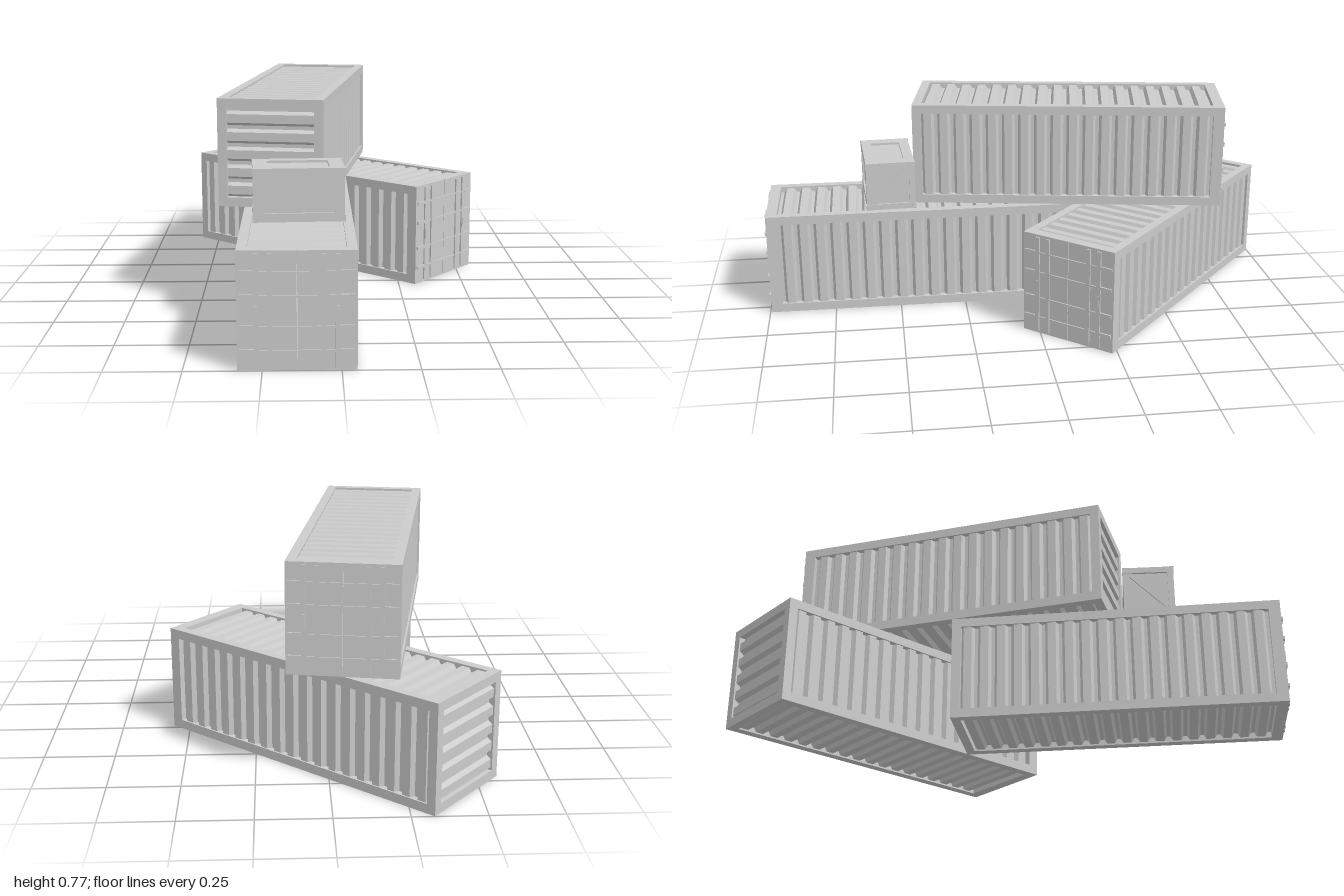
import * as THREE from 'three';

const grey = new THREE.MeshStandardMaterial({ color: 0xcccccc });
const W = 0.378, H = 0.387, L = 1.18; // container size
const F = 0.033; // frame bar thickness

function add(parent, name, geometry, x = 0, y = 0, z = 0) {
  const mesh = new THREE.Mesh(geometry, grey);
  mesh.name = name;
  mesh.position.set(x, y, z);
  parent.add(mesh);
  return mesh;
}
const box = (parent, name, w, h, d, x, y, z) =>
  add(parent, name, new THREE.BoxGeometry(w, h, d), x, y, z);

// Turn a piece so its local x runs along `along` and its local y along `out`, then push it outwards
function orient(mesh, along, out, distance) {
  const a = new THREE.Vector3(...along), o = new THREE.Vector3(...out);
  const basis = new THREE.Matrix4().makeBasis(a, o, a.clone().cross(o));
  mesh.quaternion.setFromRotationMatrix(basis);
  mesh.position.copy(o).multiplyScalar(distance);
  return mesh;
}

// Corrugated sheet: trapezoid ribs repeat along x, outer face at y = 0, extruded along z
function corrugated(length, width, ribs, depth = 0.016) {
  const pitch = length / ribs, shape = new THREE.Shape();
  shape.moveTo(-length / 2, -depth - 0.006);
  shape.lineTo(length / 2, -depth - 0.006);
  for (let i = ribs; i > 0; i--) {
    const x = -length / 2 + i * pitch;
    shape.lineTo(x, -depth);
    shape.lineTo(x - pitch * 0.2, -depth);
    shape.lineTo(x - pitch * 0.36, 0);
    shape.lineTo(x - pitch * 0.84, 0);
    shape.lineTo(x - pitch, -depth);
  }
  shape.closePath();
  const g = new THREE.ExtrudeGeometry(shape, { depth: width, bevelEnabled: false });
  return g.translate(0, 0, -width / 2);
}

// Container centred on its own middle, doors on +z
function container(name, x, y, z, turn) {
  const g = new THREE.Group();
  g.name = name;
  const front = L / 2 - 0.014, mid = (front - L / 2) / 2, len = front + L / 2;

  // Frame: corner posts, long rails and cross rails
  for (const a of [-1, 1]) for (const b of [-1, 1]) {
    const ex = a * (W - F) / 2, ey = b * (H - F) / 2, ez = mid + b * (len - F) / 2;
    box(g, 'cornerPost', F, H, F, ex, 0, ez);
    box(g, 'longRail', F, F, len - 2 * F, ex, ey, mid);
    box(g, 'crossRail', W - 2 * F, F, F, 0, a * (H - F) / 2, ez);
  }

  // Corrugated walls, roof, floor and closed end
  const pl = len - 2 * F, pw = W - 2 * F, ph = H - 2 * F, inset = 0.006;
  const sheets = [
    ['sideWall', [0, 0, 1], [1, 0, 0], ph, W / 2],
    ['sideWall', [0, 0, 1], [-1, 0, 0], ph, W / 2],
    ['roof', [0, 0, 1], [0, 1, 0], pw, H / 2],
    ['floor', [0, 0, 1], [0, -1, 0], pw, H / 2],
  ];
  for (const [label, along, out, width, dist] of sheets) {
    const sheet = orient(add(g, label, corrugated(pl, width, 18)), along, out, dist - inset);
    sheet.position.z = mid;
  }
  orient(add(g, 'endWall', corrugated(ph, pw, 5)), [0, 1, 0], [0, 0, -1], L / 2 - inset);

  // Double doors with a thin seam, locking rods, cross bars and hinges
  for (const s of [-1, 1]) {
    box(g, 'door', W / 2 - 0.001, H, 0.008, s * (W / 4 + 0.0005), 0, front + 0.004);
    for (const rx of [0.085, 0.128]) {
      box(g, 'lockingRod', 0.016, H - 0.018, 0.006, s * rx, 0, front + 0.0105);
    }
    box(g, 'handle', 0.01, 0.035, 0.006, s * 0.128, 0, front + 0.013);
  }
  for (const by of [-0.13, -0.052, 0.048, 0.125]) {
    box(g, 'doorBar', W - 0.02, 0.006, 0.005, 0, by, front + 0.01);
    for (const s of [-1, 1]) {
      box(g, 'hinge', 0.045, 0.012, 0.007, s * (W / 2 - 0.03), by, front + 0.0105);
    }
  }
  g.position.set(x, y + H / 2, z);
  g.rotation.y = turn;
  return g;
}

// Flat rectangular border lying in its local xz plane
function border(w, d, bw, bd, t) {
  const rect = (P, a, b) => new P().moveTo(-a, -b).lineTo(a, -b).lineTo(a, b).lineTo(-a, b).closePath();
  const shape = rect(THREE.Shape, w / 2, d / 2);
  shape.holes.push(rect(THREE.Path, w / 2 - bw, d / 2 - bd));
  return new THREE.ExtrudeGeometry(shape, { depth: t, bevelEnabled: false })
    .translate(0, 0, -t).rotateX(-Math.PI / 2);
}

// Crate: core box with raised borders and a diagonal brace on each end
function crate(x, y, z, turn) {
  const g = new THREE.Group();
  g.name = 'crate';
  const w = 0.31, h = 0.184, d = 0.184, t = 0.008;
  box(g, 'crateCore', w - 2 * t, h - 2 * t, d - 2 * t, 0, 0, 0);
  for (const s of [-1, 1]) {
    orient(add(g, 'crateSide', border(w, h, 0.038, 0.03, t)), [1, 0, 0], [0, 0, s], d / 2);
    orient(add(g, 'crateLid', border(w, d - 2 * t, 0.05, 0.03, t)), [1, 0, 0], [0, s, 0], h / 2);
    orient(add(g, 'crateEnd', border(d - 2 * t, h - 2 * t, 0.014, 0.014, t)), [0, 0, 1], [s, 0, 0], w / 2);
    const brace = box(g, 'endBrace', t * 0.8, 0.018, 0.19, s * (w / 2 - t * 0.6), 0, 0);
    brace.rotation.x = Math.PI / 4;
    // Corner caps
    for (const a of [-1, 1]) for (const b of [-1, 1]) {
      box(g, 'cornerCap', 0.016, 0.022, 0.016, s * (w / 2 - 0.006), a * (h / 2 - 0.011), b * (d / 2 - 0.006));
    }
  }
  g.position.set(x, y + h / 2, z);
  g.rotation.y = turn;
  return g;
}

export function createModel() {
  const model = new THREE.Group();
  model.name = 'containerStack';
  model.add(
    container('frontContainer', -0.14, 0, 0.41, 0),
    container('angledContainer', -0.004, 0, -0.47, 0.857),
    container('topContainer', -0.138, H, -0.18, 2.976),
    crate(-0.138, H, 0.53, 0.05),
  );
  return model;
}
